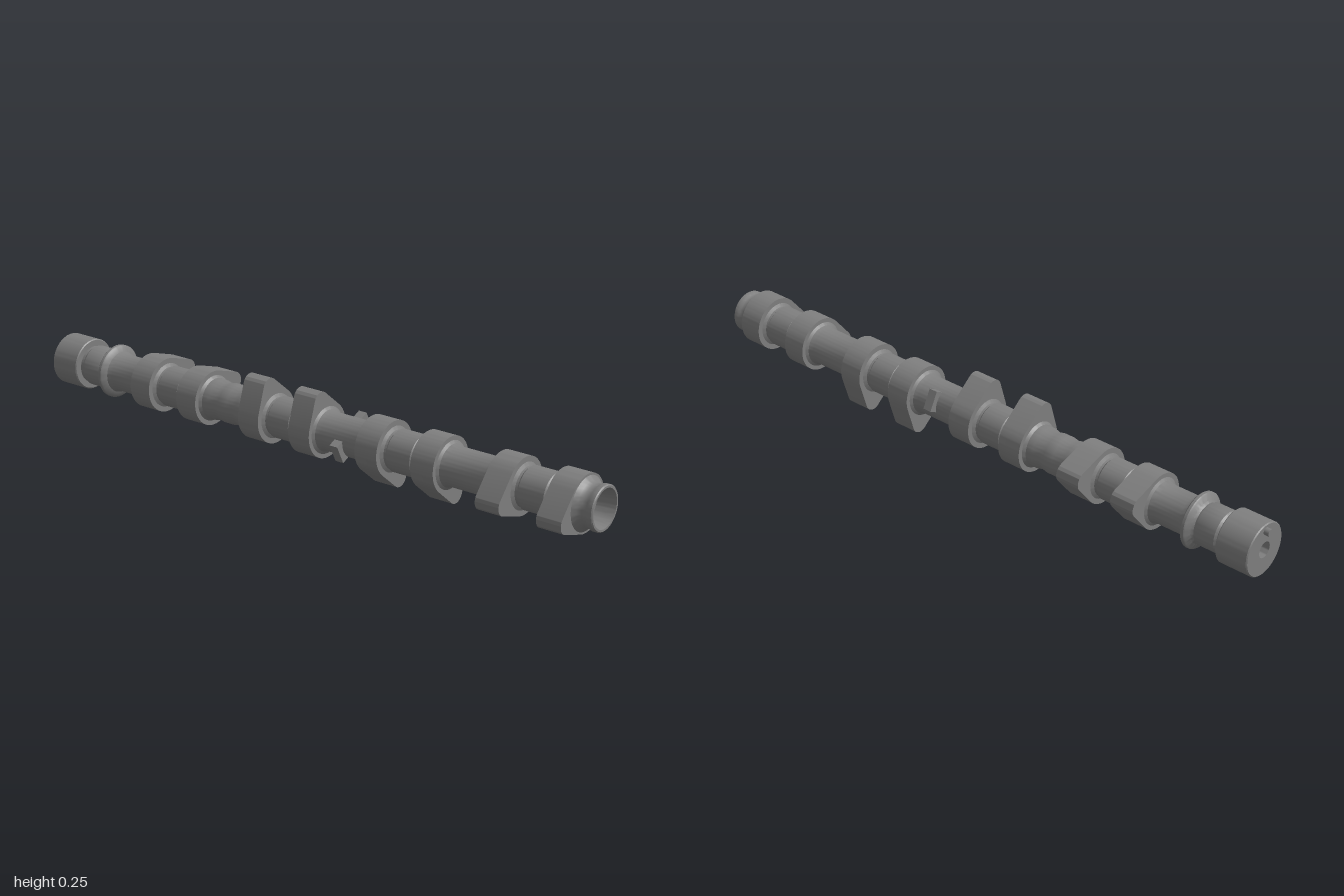
import * as THREE from 'three';
import { toCreasedNormals } from 'three/addons/utils/BufferGeometryUtils.js';

const AXIS_Y = 0.123;
const LOBE_WIDTH = 0.077;
const BASE_R = 0.084;
const NOSE_R = 0.03;
const NOSE_D = 0.097;

// Each pair of cams shares one direction (degrees around the shaft, from +x).
const pairs = [
  { angle: 196.5, z: [0.905, 0.71] },
  { angle: 286.5, z: [0.465, 0.27] },
  { angle: 106.5, z: [0.027, -0.165] },
  { angle: 16.5, z: [-0.412, -0.602] },
];

// Shaft sections between two cam faces, listed from back to front
function plainSection(a, b) {
  return [[0.071, a], [0.063, a + 0.006], [0.058, a + 0.022],
    [0.058, b - 0.022], [0.063, b - 0.006], [0.071, b]];
}

function journalSection(a, b) {
  return [[0.068, a], [0.058, a + 0.006], [0.057, a + 0.013], [0.063, a + 0.019],
    [0.063, b - 0.019], [0.057, b - 0.013], [0.058, b - 0.006], [0.068, b]];
}

function bulgeSection(a, b) {
  const m = (a + b) / 2;
  return [[0.07, a], [0.063, a + 0.008], [0.062, a + 0.03], [0.057, a + 0.05],
    [0.061, m - 0.015], [0.061, m + 0.015], [0.057, b - 0.05],
    [0.062, b - 0.03], [0.063, b - 0.008], [0.07, b]];
}

function shaftGeometry() {
  const h = LOBE_WIDTH / 2;
  const profile = [
    // rear bore, drive head, rear journal and thrust collar
    [0, -0.92], [0.024, -0.93], [0.024, -0.985], [0.077, -0.985], [0.08, -0.982],
    [0.08, -0.885], [0.077, -0.882], [0.058, -0.882], [0.058, -0.872], [0.063, -0.865],
    [0.063, -0.805], [0.059, -0.797], [0.064, -0.79], [0.08, -0.784], [0.083, -0.78],
    [0.083, -0.772], [0.08, -0.768], [0.064, -0.761], [0.058, -0.745],
    [0.058, -0.662], [0.063, -0.646], [0.071, -0.602 - h],
  ];
  for (let i = pairs.length - 1; i >= 0; i--) {
    const [front, back] = pairs[i].z;
    profile.push(...journalSection(back + h, front - h));
    if (i > 0) {
      const section = i === 3 ? bulgeSection : plainSection;
      profile.push(...section(front + h, pairs[i - 1].z[1] - h));
    }
  }
  // open front end
  profile.push([0.078, 0.905 + h], [0.068, 0.954], [0.062, 0.965], [0.062, 0.978],
    [0.066, 0.984], [0.066, 0.997], [0.063, 1], [0.057, 1], [0.053, 0.975], [0.046, 0.91], [0, 0.91]);
  const lathe = new THREE.LatheGeometry(profile.map(([r, z]) => new THREE.Vector2(r, z)), 64);
  return toCreasedNormals(lathe.rotateX(Math.PI / 2), 0.6);
}

// Cam outline: base circle joined to a smaller nose circle by tangent flanks
function lobeGeometry() {
  const t = Math.acos((BASE_R - NOSE_R) / NOSE_D);
  const shape = new THREE.Shape();
  shape.absarc(0, 0, BASE_R, t, Math.PI * 2 - t, false);
  shape.absarc(NOSE_D, 0, NOSE_R, -t, t, false);
  shape.closePath();
  const g = new THREE.ExtrudeGeometry(shape, { depth: LOBE_WIDTH, bevelEnabled: false, curveSegments: 32 });
  return toCreasedNormals(g.translate(0, 0, -LOBE_WIDTH / 2), 0.6);
}

export function createModel() {
  const model = new THREE.Group();
  model.name = 'camshaft';
  const steel = new THREE.MeshStandardMaterial({ color: 0x7f7f7f });
  steel.name = 'grey steel';

  const add = (geometry, name, x = 0, y = 0, z = 0, turn = 0) => {
    const mesh = new THREE.Mesh(geometry, steel);
    mesh.name = name;
    mesh.position.set(x, AXIS_Y + y, z);
    mesh.rotation.z = turn;
    model.add(mesh);
    return mesh;
  };

  add(shaftGeometry(), 'shaft');

  // Cams
  const lobe = lobeGeometry();
  pairs.forEach(({ angle, z }, i) => z.forEach((pos, j) => {
    add(lobe, `camLobe${i * 2 + j + 1}`, 0, 0, pos, THREE.MathUtils.degToRad(angle));
  }));

  // Two opposed lugs on the middle of the shaft
  const lug = new THREE.BoxGeometry(0.035, 0.062, 0.028);
  [27, 207].forEach((deg, i) => {
    const a = THREE.MathUtils.degToRad(deg);
    add(lug, `lug${i + 1}`, 0.0575 * Math.cos(a), 0.0575 * Math.sin(a), 0.153, a);
  });

  // Locating pin on the rear face
  const pin = new THREE.CylinderGeometry(0.011, 0.011, 0.04, 24).rotateX(Math.PI / 2);
  add(pin, 'locatingPin', 0, 0.06, -0.98);

  return model;
}
